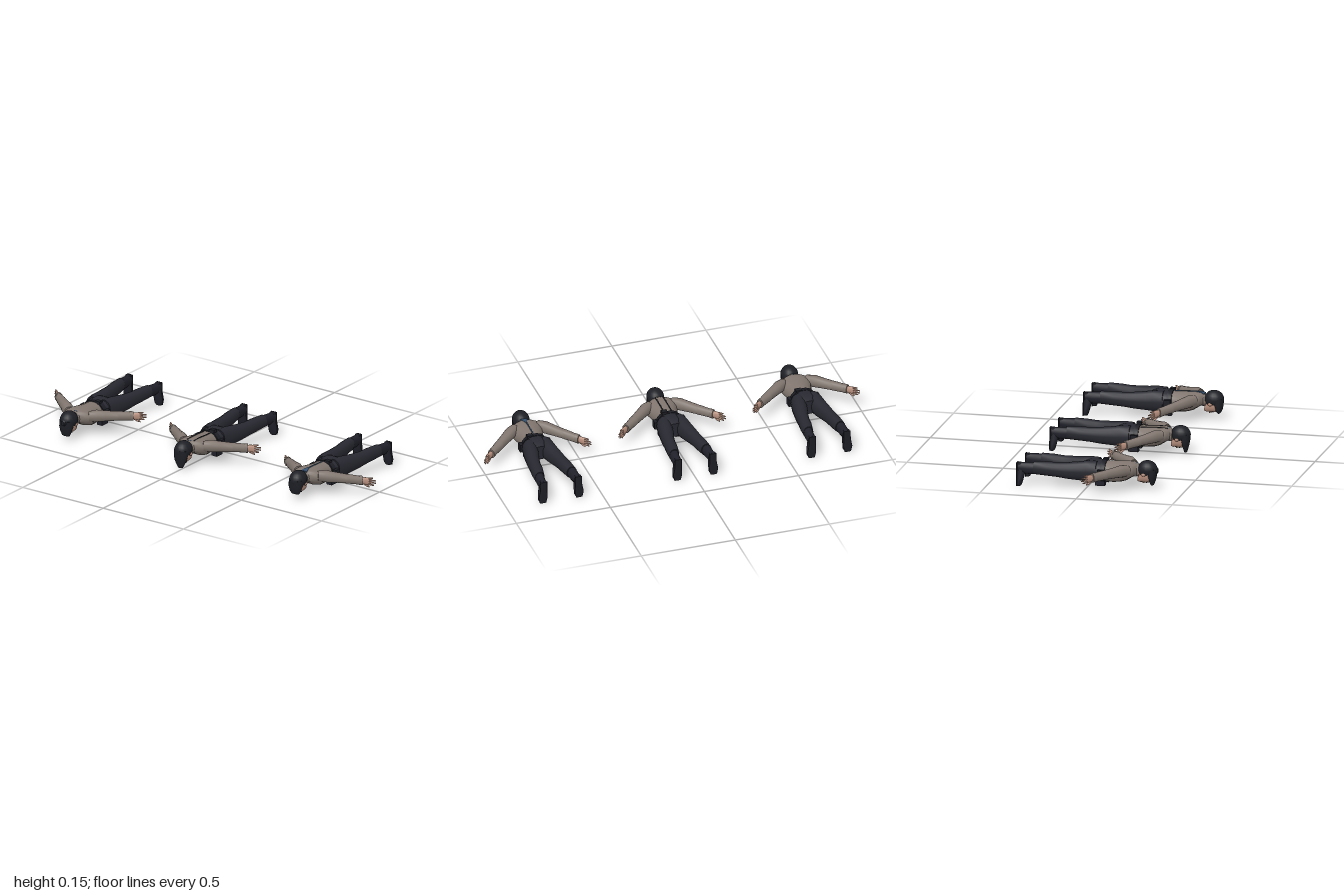
import * as THREE from 'three';

const mat = (name, color) => Object.assign(new THREE.MeshStandardMaterial({ color }), { name });
const M = {
  shirt: mat('taupe shirt', 0x81766f),
  trousers: mat('dark trousers', 0x282931),
  boots: mat('boot leather', 0x20212a),
  hair: mat('black hair', 0x1e2026),
  skin: mat('skin', 0xb9917f),
  blue: mat('blue cloth', 0x36516f),
  belt: mat('belt black', 0x1d1e25),
  lips: mat('lips', 0x8d5f55),
};
const X = [1, 0, 0], Y = [0, 1, 0], Z = [0, 0, 1];
const SIDES = 14;

// Closed skin over rings [x, y, z, radiusU, radiusV]; U and V span every ring.
function loft(name, material, rings, U = X, V = Y, power = 0.9) {
  const u = new THREE.Vector3(...U), v = new THREE.Vector3(...V);
  const c = rings.map(r => new THREE.Vector3(r[0], r[1], r[2]));
  const travel = c[c.length - 1].clone().sub(c[0]);
  if (u.clone().cross(v).dot(travel) < 0) v.negate();
  const pos = [], idx = [];
  const soft = t => Math.sign(t) * Math.pow(Math.abs(t), power);
  const addRing = i => {
    const start = pos.length / 3;
    for (let k = 0; k < SIDES; k++) {
      const t = k / SIDES * Math.PI * 2;
      const p = c[i].clone().addScaledVector(u, rings[i][3] * soft(Math.cos(t)))
        .addScaledVector(v, rings[i][4] * soft(Math.sin(t)));
      pos.push(p.x, p.y, p.z);
    }
    return start;
  };
  rings.forEach((_, i) => addRing(i));
  for (let i = 0; i < rings.length - 1; i++) for (let k = 0; k < SIDES; k++) {
    const a = i * SIDES + k, b = i * SIDES + (k + 1) % SIDES;
    idx.push(a, b, b + SIDES, a, b + SIDES, a + SIDES);
  }
  for (const i of [0, rings.length - 1]) {
    const s = addRing(i), m = pos.length / 3;
    pos.push(c[i].x, c[i].y, c[i].z);
    for (let k = 0; k < SIDES; k++) {
      const a = s + k, b = s + (k + 1) % SIDES;
      if (i) idx.push(a, b, m); else idx.push(b, a, m);
    }
  }
  const g = new THREE.BufferGeometry();
  g.setAttribute('position', new THREE.Float32BufferAttribute(pos, 3));
  g.setIndex(idx);
  g.computeVertexNormals();
  const mesh = new THREE.Mesh(g, material);
  mesh.name = name;
  return mesh;
}

function box(name, material, w, h, d, x, y, z) {
  const mesh = new THREE.Mesh(new THREE.BoxGeometry(w, h, d), material);
  mesh.name = name;
  mesh.position.set(x, y, z);
  return mesh;
}

function ball(name, material, rx, ry, rz, x, y, z) {
  const mesh = new THREE.Mesh(new THREE.SphereGeometry(1, 18, 12), material);
  mesh.name = name;
  mesh.scale.set(rx, ry, rz);
  mesh.position.set(x, y, z);
  return mesh;
}

function arm(s, handY) {
  const g = new THREE.Group();
  g.name = s > 0 ? 'leftArm' : 'rightArm';
  const U = [0.66 * s, 0, 0.75];
  // t runs from shoulder to finger tip; dy is an offset from the arm line
  const at = (t, a, b, dy = 0) =>
    [s * (0.06 + 0.225 * t), 0.108 + (handY - 0.108) * t + dy, 0.217 - 0.19 * t, a, b];
  g.add(loft('sleeve', M.shirt, [at(0, 0.024, 0.026, -0.004), at(0.14, 0.029, 0.031), at(0.3, 0.026, 0.027),
    at(0.48, 0.023, 0.024), at(0.52, 0.024, 0.024), at(0.66, 0.02, 0.023), at(0.74, 0.018, 0.022)], U));
  g.add(loft('cuff', M.shirt, [at(0.71, 0.02, 0.024), at(0.77, 0.019, 0.024)], U));
  g.add(loft('palm', M.skin, [at(0.75, 0.012, 0.014), at(0.8, 0.011, 0.019), at(0.88, 0.008, 0.02)], U));
  for (let i = 0; i < 4; i++) {
    const k = i - 1.5, end = [0.965, 1, 0.995, 0.95][i];
    g.add(loft('finger', M.skin, [at(0.86, 0.005, 0.0052, k * 0.0098),
      at(0.92, 0.0045, 0.0046, k * 0.0115), at(end, 0.002, 0.003, k * 0.0128)], U));
  }
  g.add(loft('thumb', M.skin, [at(0.78, 0.006, 0.006, -0.014), at(0.84, 0.006, 0.006, -0.024),
    at(0.89, 0.003, 0.004, -0.03)], U));
  return g;
}

function leg(s) {
  const g = new THREE.Group();
  g.name = s > 0 ? 'leftLeg' : 'rightLeg';
  g.add(loft('trouserLeg', M.trousers, [[s * 0.038, 0.085, 0.05, 0.038, 0.052],
    [s * 0.046, 0.085, 0, 0.039, 0.053], [s * 0.054, 0.085, -0.05, 0.037, 0.047],
    [s * 0.064, 0.086, -0.1, 0.033, 0.042], [s * 0.071, 0.089, -0.15, 0.03, 0.037],
    [s * 0.077, 0.093, -0.2, 0.031, 0.036], [s * 0.085, 0.096, -0.265, 0.026, 0.033]]));
  g.add(loft('bootShaft', M.boots, [[s * 0.085, 0.095, -0.25, 0.025, 0.031],
    [s * 0.089, 0.093, -0.3, 0.022, 0.03], [s * 0.092, 0.096, -0.345, 0.021, 0.025]]));
  g.add(loft('bootFoot', M.boots, [[s * 0.092, 0.12, -0.341, 0.016, 0.012],
    [s * 0.092, 0.1, -0.335, 0.019, 0.019], [s * 0.093, 0.07, -0.332, 0.02, 0.022],
    [s * 0.095, 0.04, -0.336, 0.023, 0.018], [s * 0.096, 0.015, -0.339, 0.023, 0.014],
    [s * 0.096, 0.002, -0.342, 0.016, 0.011]], X, Z));
  g.add(loft('bootSole', M.belt, [[s * 0.092, 0.121, -0.352, 0.018, 0.003],
    [s * 0.093, 0.07, -0.352, 0.019, 0.003], [s * 0.096, 0.03, -0.352, 0.024, 0.003],
    [s * 0.096, 0, -0.352, 0.017, 0.003]], X, Z));
  return g;
}

function head(kind) {
  const g = new THREE.Group();
  g.name = 'head';
  g.add(loft('neck', M.skin, [[0, 0.094, 0.235, 0.024, 0.026], [0, 0.088, 0.285, 0.025, 0.028]]));
  // face looks down toward the ground, chin toward the feet
  g.add(loft('face', M.skin, [[0, 0.048, 0.254, 0.012, 0.012], [0, 0.06, 0.264, 0.024, 0.026],
    [0, 0.07, 0.285, 0.034, 0.036], [0, 0.073, 0.31, 0.037, 0.04], [0, 0.08, 0.334, 0.03, 0.036]]));
  g.add(loft('nose', M.skin, [[0, 0.033, 0.278, 0.006, 0.007], [0, 0.037, 0.3, 0.003, 0.004]]));
  g.add(box('mouth', M.lips, 0.018, 0.004, 0.004, 0, 0.036, 0.268));
  for (const s of [-1, 1]) {
    g.add(box('eye', M.hair, 0.011, 0.004, 0.005, s * 0.015, 0.036, 0.301));
    g.add(ball('ear', M.skin, 0.006, 0.009, 0.012, s * 0.037, 0.08, 0.29));
  }
  g.add(ball('hair', M.hair, 0.044, 0.046, 0.051, 0, 0.101, 0.303));
  // fringe hanging from the crown over the brow
  const low = [0.022, 0.01, 0.03][kind];
  g.add(loft('fringe', M.hair, [[0, 0.105, 0.317, 0.04, 0.036], [0, 0.07, 0.326, 0.039, 0.024],
    [0, 0.045, 0.328, 0.033, 0.017], [0, low, 0.329, kind === 1 ? 0.014 : 0.022, 0.007]], X, Z));
  if (kind === 0) g.add(loft('hairTuft', M.hair, [[0, 0.1, 0.33, 0.03, 0.03], [0, 0.095, 0.357, 0.01, 0.012]]));
  return g;
}

function person(kind) {
  const g = new THREE.Group();
  g.name = 'lyingPerson';
  g.add(loft('shirt', M.shirt, [[0, 0.097, 0.254, 0.03, 0.03], [0, 0.1, 0.243, 0.055, 0.032],
    [0, 0.096, 0.225, 0.083, 0.038], [0, 0.088, 0.2, 0.087, 0.046], [0, 0.083, 0.17, 0.074, 0.051],
    [0, 0.08, 0.135, 0.062, 0.053], [0, 0.079, 0.1, 0.058, 0.053], [0, 0.08, 0.07, 0.062, 0.052]]));
  g.add(loft('collar', M.shirt, [[0, 0.097, 0.246, 0.035, 0.034], [0, 0.093, 0.262, 0.029, 0.031]]));
  g.add(loft('collarTrim', M.blue, [[0, 0.0975, 0.244, 0.036, 0.035], [0, 0.097, 0.247, 0.0355, 0.0345]]));
  g.add(loft('hips', M.trousers, [[0, 0.081, 0.085, 0.063, 0.053], [0, 0.084, 0.045, 0.074, 0.055],
    [0, 0.085, 0.01, 0.077, 0.052], [0, 0.087, -0.02, 0.05, 0.038]]));
  g.add(loft('belt', M.belt, [[0, 0.081, 0.094, 0.066, 0.056], [0, 0.081, 0.07, 0.071, 0.057]]));
  for (const s of [-1, 1]) {
    g.add(arm(s, [0.098, 0.08, 0.062][kind]), leg(s));
    g.add(box('sidePouch', M.belt, 0.018, 0.04, 0.034, s * 0.074, 0.08, 0.076));
    g.add(box('frontPouch', M.boots, 0.032, 0.026, 0.05, s * 0.04, kind === 1 ? 0.02 : 0.026, 0.068));
  }
  g.add(box('buckle', M.shirt, 0.022, 0.006, 0.018, 0, 0.024, 0.082));
  g.add(box('backPouch', M.belt, 0.03, 0.016, 0.026, 0.025, kind === 1 ? 0.139 : 0.132, 0.082));
  // narrow bands lying along the back
  const band = (name, material, x, w, rise = 0) => loft(name, material,
    [[0.24, 0.132], [0.21, 0.134], [0.17, 0.134], [0.135, 0.132], [0.1, 0.131]]
      .map(([z, y]) => [x, y + rise, z, w, 0.0025]));
  if (kind === 1) for (const s of [-1, 1]) g.add(band('brace', M.belt, s * 0.02, 0.003, -0.001));
  if (kind === 2) {
    g.add(band('backStripe', M.blue, 0, 0.003, 0.0005));
    g.add(loft('neckerchief', M.blue, [[0, 0.127, 0.256, 0.02, 0.004], [0, 0.132, 0.24, 0.014, 0.004],
      [0, 0.136, 0.205, 0.002, 0.002]]));
  }
  g.add(head(kind));
  return g;
}

export function createModel() {
  const model = new THREE.Group();
  model.name = 'threeLyingPeople';
  [-0.715, -0.002, 0.713].forEach((x, kind) => {
    const p = person(kind);
    p.position.x = x;
    model.add(p);
  });
  return model;
}
